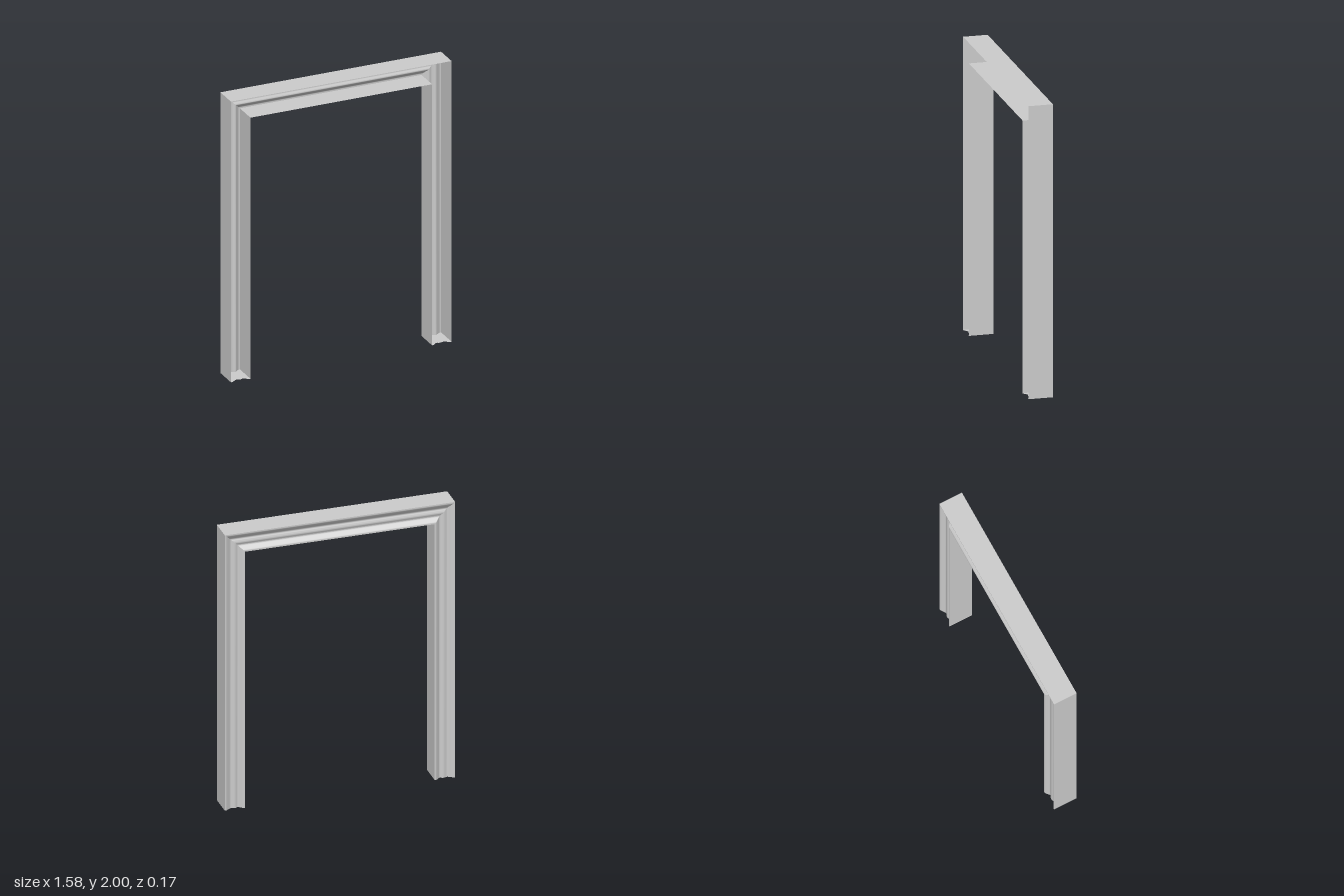
import * as THREE from 'three';
import { toCreasedNormals } from 'three/addons/utils/BufferGeometryUtils.js';

const HALF_WIDTH = 0.79, HEIGHT = 2, FACE = 0.14, HALF_DEPTH = 0.083;

// Moulded face: x = 0 at the outer edge to 1 at the inner edge, y = depth of the hollow
const ripple = new THREE.SplineCurve([
  [0, 0], [0.08, 0.001], [0.2, 0.012], [0.34, 0.024], [0.46, 0.018],
  [0.58, 0.018], [0.7, 0.025], [0.82, 0.012], [0.92, 0.001], [1, 0],
].map(([t, d]) => new THREE.Vector2(t, d))).getPoints(36);

// Channel section, open towards the front: outer wall, moulded back, inner wall
const section = [
  [0, HALF_DEPTH],
  ...ripple.map((p) => [p.x, -HALF_DEPTH + p.y]),
  [1, HALF_DEPTH],
];

// Mitred stations along the frame: foot, corner, corner, foot
const stations = [[1, 0], [1, 1], [-1, 1], [-1, 0]];

function stationPoint([side, top], [t, z]) {
  return [side * (HALF_WIDTH - FACE * t), top * (HEIGHT - FACE * t), z];
}

function sweepLength(from, to) {
  const positions = [];
  for (let j = 0; j < section.length - 1; j++) {
    const a = stationPoint(from, section[j]);
    const b = stationPoint(from, section[j + 1]);
    const c = stationPoint(to, section[j + 1]);
    const d = stationPoint(to, section[j]);
    positions.push(...a, ...b, ...c, ...a, ...c, ...d);
  }
  const geometry = new THREE.BufferGeometry();
  geometry.setAttribute('position', new THREE.Float32BufferAttribute(positions, 3));
  geometry.computeVertexNormals();
  return toCreasedNormals(geometry, 0.7);
}

// Foot plate with the moulded outline on both long edges
function footPlate(side) {
  const x = (t) => side * (HALF_WIDTH - FACE * t);
  const back = ripple.map((p) => new THREE.Vector2(x(p.x), -HALF_DEPTH + p.y));
  const front = ripple.map((p) => new THREE.Vector2(x(p.x), HALF_DEPTH - p.y)).reverse();
  return new THREE.ShapeGeometry(new THREE.Shape([...back, ...front])).rotateX(Math.PI / 2);
}

export function createModel() {
  const group = new THREE.Group();
  group.name = 'doorCasing';
  const material = new THREE.MeshStandardMaterial({ color: 0xcccccc, side: THREE.DoubleSide });
  const add = (name, geometry) => {
    const mesh = new THREE.Mesh(geometry, material);
    mesh.name = name;
    group.add(mesh);
  };

  // Two jambs and the head, meeting in mitres
  ['leftJamb', 'head', 'rightJamb'].forEach((name, i) => {
    add(name, sweepLength(stations[i], stations[i + 1]));
  });

  // Closed feet
  add('leftFoot', footPlate(1));
  add('rightFoot', footPlate(-1));
  return group;
}
